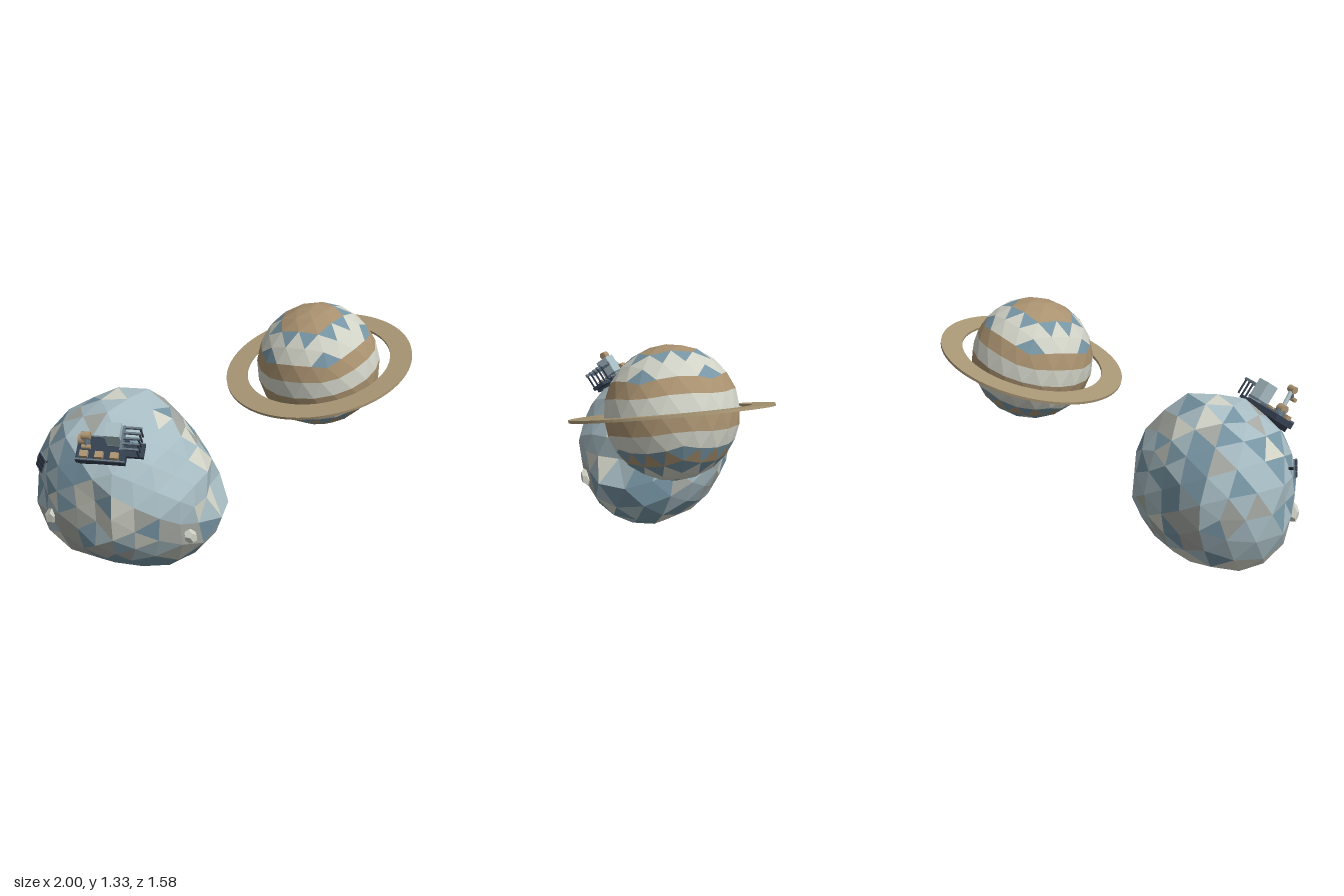
import * as THREE from 'three';

const mat = (name, color) => {
  const m = new THREE.MeshStandardMaterial({ color });
  m.name = name;
  return m;
};
const M = {
  cream: mat('cream', 0xd0d2c6), tan: mat('tan', 0xaa9270), blue: mat('dusty blue', 0x7795a4),
  ring: mat('ring ochre', 0xa99775), pale: mat('pale blue', 0xa6bbc2), stone: mat('stone grey', 0xa5a8a2),
  navy: mat('dark navy', 0x344050), steel: mat('steel', 0x667683), black: mat('charcoal', 0x20252c),
};
const V = (x, y, z) => new THREE.Vector3(x, y, z);

function add(parent, name, geo, material, x = 0, y = 0, z = 0) {
  const m = new THREE.Mesh(geo, material);
  m.name = name;
  m.position.set(x, y, z);
  parent.add(m);
  return m;
}
const box = (parent, name, material, [w, h, d], [x, y, z]) =>
  add(parent, name, new THREE.BoxGeometry(w, h, d), material, x, y, z);

// Bar between two points
function rod(parent, name, material, a, b, r) {
  const m = add(parent, name, new THREE.CylinderGeometry(r, r, a.distanceTo(b), 8), material);
  m.position.copy(a).lerp(b, 0.5);
  m.quaternion.setFromUnitVectors(V(0, 1, 0), b.clone().sub(a).normalize());
  return m;
}

// Gives each triangle a material index from its centroid and number
function colourFaces(geo, pick) {
  const p = geo.attributes.position;
  geo.clearGroups();
  for (let i = 0; i < p.count; i += 3) {
    const c = V(0, 0, 0);
    for (let k = 0; k < 3; k++) c.add(V(p.getX(i + k), p.getY(i + k), p.getZ(i + k)));
    geo.addGroup(i, 3, pick(c.divideScalar(3), i / 3));
  }
  geo.computeVertexNormals();
}
const hash = (n) => {
  const s = Math.sin(n * 12.9898 + 4.1) * 43758.5453;
  return s - Math.floor(s);
};

// Outlines of the asteroid in the three main planes
const CENTRE = V(-0.475, 0.49, 0.345);
const OUTLINE_XY = [[-0.48, 0.99], [-0.3, 0.93], [-0.13, 0.77], [-0.05, 0.5], [0.075, 0.35], [0, 0.2], [-0.12, 0.09],
  [-0.27, 0], [-0.4, 0], [-0.55, 0.01], [-0.9, 0.15], [-0.99, 0.28], [-1, 0.45], [-0.98, 0.62], [-0.87, 0.8], [-0.7, 0.92]];
const OUTLINE_ZY = [[0.23, 0.99], [0.4, 0.96], [0.6, 0.83], [0.72, 0.73], [0.79, 0.5], [0.74, 0.27], [0.58, 0.11],
  [0.42, 0], [0.22, 0.01], [0, 0.17], [-0.06, 0.3], [-0.1, 0.55], [0, 0.8], [0.1, 0.9]];
const OUTLINE_XZ = [[-1, 0.3], [-0.95, 0.15], [-0.85, 0.02], [-0.6, -0.07], [-0.37, -0.1], [-0.07, 0.06], [0.05, 0.25],
  [-0.03, 0.45], [-0.1, 0.63], [-0.37, 0.78], [-0.6, 0.7], [-0.8, 0.65], [-0.92, 0.5]];
const CONTROLS = [
  ...OUTLINE_XY.map(([x, y]) => V(x, y, CENTRE.z)),
  ...OUTLINE_ZY.map(([z, y]) => V(CENTRE.x, y, z)),
  ...OUTLINE_XZ.map(([x, z]) => V(x, CENTRE.y, z)),
].map((p) => {
  const r = p.sub(CENTRE).length();
  return { r, d: p.normalize() };
});

// Worn flats: direction and distance from the centre
const FLATS = [[V(0.6, 0.5, 0.62), 0.43], [V(0.35, 0.87, 0.35), 0.415], [V(0.7, 0.1, -0.7), 0.425],
  [V(0.76, 0.57, -0.29), 0.42], [V(0.76, 0.57, 0.29), 0.425]].map(([n, d]) => [n.normalize(), d]);

// Asteroid radius in a direction, blended from the outlines and cut by the flats
function radius(d) {
  let sum = 0, total = 0;
  for (const c of CONTROLS) {
    const w = 1 / (1.004 - d.dot(c.d)) ** 2;
    sum += w * c.r;
    total += w;
  }
  return Math.min(sum / total, ...FLATS.map(([n, dist]) => dist / Math.max(0.1, d.dot(n))));
}
const surface = (d, lift) => d.clone().normalize().multiplyScalar(radius(d.clone().normalize()) + lift).add(CENTRE);

// Patches of ground: direction and main colour (pale, blue, cream, stone)
const PATCHES = [[0.6, 0.5, 0.62, 0], [0.9, 0.2, 0.3, 0], [0.1, 0.5, 0.85, 0], [-0.1, 0.1, 1, 2], [-0.75, 0.3, 0.6, 1],
  [-0.5, 0.75, 0.4, 0], [-0.45, -0.3, 0.85, 3], [0.5, -0.35, 0.8, 3], [0.3, -0.9, 0.4, 1], [0.7, -0.6, -0.1, 1],
  [0, 1, 0, 0], [-0.9, 0.1, -0.3, 0], [-0.5, 0.5, -0.7, 1], [-0.5, -0.4, -0.75, 3], [0.4, 0.1, -0.9, 0],
  [-0.3, -0.9, -0.2, 2], [0.5, 0.7, -0.4, 3]].map(([x, y, z, colour]) => ({ d: V(x, y, z).normalize(), colour }));

function buildAsteroid(root) {
  const geo = new THREE.IcosahedronGeometry(1, 3);
  const p = geo.attributes.position;
  for (let i = 0; i < p.count; i++) {
    const d = V(p.getX(i), p.getY(i), p.getZ(i)).normalize();
    const key = Math.round(d.x * 500) + Math.round(d.y * 500) * 1.7 + Math.round(d.z * 500) * 2.3;
    d.multiplyScalar(radius(d) * (0.99 + 0.025 * hash(key))).add(CENTRE);
    p.setXYZ(i, d.x, d.y, d.z);
  }
  colourFaces(geo, (c, i) => {
    const d = c.clone().sub(CENTRE).normalize();
    if (d.dot(FLATS[0][0]) > 0.86) return 0;
    const near = PATCHES.reduce((a, b) => (d.dot(b.d) > d.dot(a.d) ? b : a));
    const h = hash(i + 7);
    if (h < 0.5) return near.colour;
    return h < 0.73 ? 0 : h < 0.84 ? 1 : h < 0.94 ? 2 : 3;
  });
  add(root, 'asteroid', geo, [M.pale, M.blue, M.cream, M.stone]);

  // Small boulders half sunk in the surface
  for (const [x, y, z] of [[-0.38, -0.12, 0.25], [0.375, -0.17, 0.26]]) {
    const rock = add(root, 'boulder', new THREE.DodecahedronGeometry(0.04, 0), M.cream);
    rock.position.copy(surface(V(x, y, z), 0.005));
    rock.scale.set(0.9, 1.4, 0.8);
    rock.rotation.set(0.3, 0.4, x);
  }
}

// Planet bands: lower limit of height and material index (cream, tan, blue)
const BANDS = [[0.87, 1], [0.81, 2], [0.565, 0], [0.48, 2], [0.24, 1], [0, 0], [-0.24, 1], [-0.48, 0],
  [-0.615, 2], [-0.7, 1], [-0.81, 2], [-0.96, 0], [-2, 2]];

function buildPlanet(root) {
  const g = new THREE.Group();
  g.name = 'ringedPlanet';
  g.position.set(0.48, 0.978, -0.272);
  g.quaternion.setFromUnitVectors(V(0, 1, 0), V(-0.173, 1, 0.19).normalize());
  root.add(g);
  const geo = new THREE.IcosahedronGeometry(1, 3);
  geo.rotateZ(-Math.atan(2 / (1 + Math.sqrt(5))));
  colourFaces(geo, (c) => BANDS.find(([limit]) => c.y > limit)[1]);
  geo.scale(0.346, 0.346, 0.346);
  add(g, 'planet', geo, [M.cream, M.tan, M.blue]);

  const shape = new THREE.Shape().absarc(0, 0, 0.525, 0, Math.PI * 2);
  shape.holes.push(new THREE.Path().absarc(0, 0, 0.405, 0, Math.PI * 2, true));
  const ring = new THREE.ExtrudeGeometry(shape, { depth: 0.014, bevelEnabled: false, curveSegments: 48 });
  ring.translate(0, 0, -0.007).rotateX(-Math.PI / 2);
  add(g, 'planetRing', ring, M.ring);
}

function buildStation(root) {
  const g = new THREE.Group();
  g.name = 'miningStation';
  g.position.set(-0.54, 0.815, 0.65);
  g.rotation.x = 0.64;
  root.add(g);
  box(g, 'platform', M.navy, [0.26, 0.035, 0.14], [0, 0, 0]);
  box(g, 'platformFoot', M.black, [0.23, 0.03, 0.12], [0, -0.03, 0]);
  for (const z of [-0.066, 0.066]) box(g, 'platformRail', M.steel, [0.26, 0.01, 0.008], [0, 0.022, z]);
  for (const x of [-0.085, -0.005, 0.075]) box(g, 'cargoCrate', M.tan, [0.042, 0.025, 0.034], [x, 0.029, 0.04]);

  // Tall cabin
  box(g, 'cabin', M.pale, [0.08, 0.12, 0.08], [0.07, 0.08, -0.055]);
  box(g, 'cabinTrim', M.steel, [0.085, 0.012, 0.085], [0.07, 0.03, -0.055]);

  // Radiator fins on a side frame
  box(g, 'finPlate', M.navy, [0.09, 0.02, 0.08], [0.175, 0.005, -0.01]);
  box(g, 'finBeam', M.steel, [0.012, 0.02, 0.14], [0.118, 0.095, -0.03]);
  for (let i = 0; i < 5; i++) {
    const z = -0.09 + i * 0.03;
    box(g, 'radiatorFin', M.steel, [0.09, 0.014, 0.01], [0.165, 0.1, z]);
    box(g, 'finPost', M.navy, [0.008, 0.09, 0.008], [0.2, 0.055, z]);
  }

  // Jointed crane
  const base = V(-0.095, 0.055, -0.03), elbow = V(-0.05, 0.175, 0.005), tip = V(-0.05, 0.13, 0.045);
  add(g, 'cranePedestal', new THREE.CylinderGeometry(0.026, 0.032, 0.04, 10), M.steel, -0.095, 0.03, -0.03);
  rod(g, 'craneArm', M.pale, base, elbow, 0.012);
  rod(g, 'craneForearm', M.steel, elbow, tip, 0.008);
  for (const [p, r] of [[base, 0.026], [elbow, 0.02], [tip, 0.012]]) {
    const joint = add(g, 'craneJoint', new THREE.CylinderGeometry(r, r, 0.046, 10), M.tan, p.x, p.y, p.z);
    joint.rotation.z = Math.PI / 2;
  }
}

// Solar panel standing off the side on a stalk
function buildPanel(root) {
  const g = new THREE.Group();
  g.name = 'solarPanel';
  g.position.set(-0.905, 0.665, 0.55);
  g.quaternion.setFromUnitVectors(V(0, 0, 1), V(-0.7, 0.12, 0.7).normalize());
  g.rotateZ(-0.45);
  root.add(g);
  box(g, 'panelFrame', M.steel, [0.07, 0.1, 0.008], [0, 0, 0]);
  for (const x of [-0.017, 0.017])
    for (const y of [-0.031, 0, 0.031]) box(g, 'panelCell', M.navy, [0.031, 0.028, 0.004], [x, y, 0.005]);
  rod(g, 'panelStalk', M.black, V(0, 0, 0), V(0, 0, -0.1), 0.008);
}

export function createModel() {
  const root = new THREE.Group();
  root.name = 'asteroidAndPlanet';
  buildAsteroid(root);
  buildPlanet(root);
  buildStation(root);
  buildPanel(root);
  return root;
}
